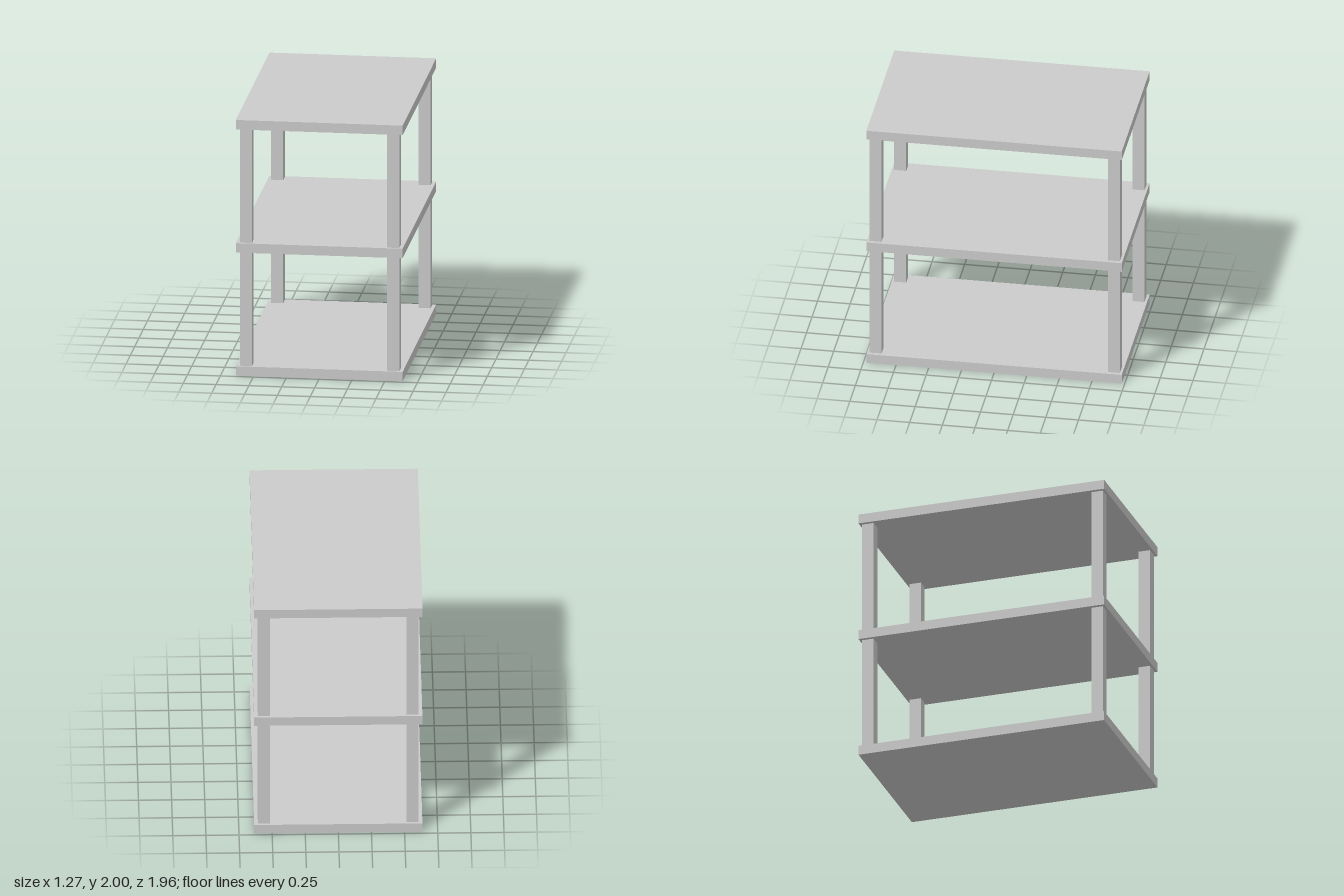
import * as THREE from 'three';

const WIDTH = 1.27, HEIGHT = 2, DEPTH = 1.955;
const BOARD = 0.074; // shelf thickness
const POST = 0.092; // square post side
const POST_X = 0.561, POST_Z = 0.912;

export function createModel() {
  const model = new THREE.Group();
  model.name = 'shelvingUnit';
  const material = new THREE.MeshStandardMaterial({ color: 0xcccccc, flatShading: true });

  const addBox = (name, size, position) => {
    const mesh = new THREE.Mesh(new THREE.BoxGeometry(...size), material);
    mesh.name = name;
    mesh.position.set(...position);
    model.add(mesh);
  };

  // Three evenly spaced shelf boards
  const pitch = (HEIGHT - BOARD) / 2;
  ['bottomShelf', 'middleShelf', 'topShelf'].forEach((name, i) => {
    addBox(name, [WIDTH, BOARD, DEPTH], [0, BOARD / 2 + i * pitch, 0]);
  });

  // Four corner posts standing between each pair of shelves
  ['lower', 'upper'].forEach((tier, i) => {
    for (const x of [-1, 1]) {
      for (const z of [-1, 1]) {
        const name = `${tier}${z > 0 ? 'Front' : 'Back'}${x > 0 ? 'Left' : 'Right'}Post`;
        const y = BOARD / 2 + (i + 0.5) * pitch;
        addBox(name, [POST, pitch - BOARD, POST], [x * POST_X, y, z * POST_Z]);
      }
    }
  });

  return model;
}
